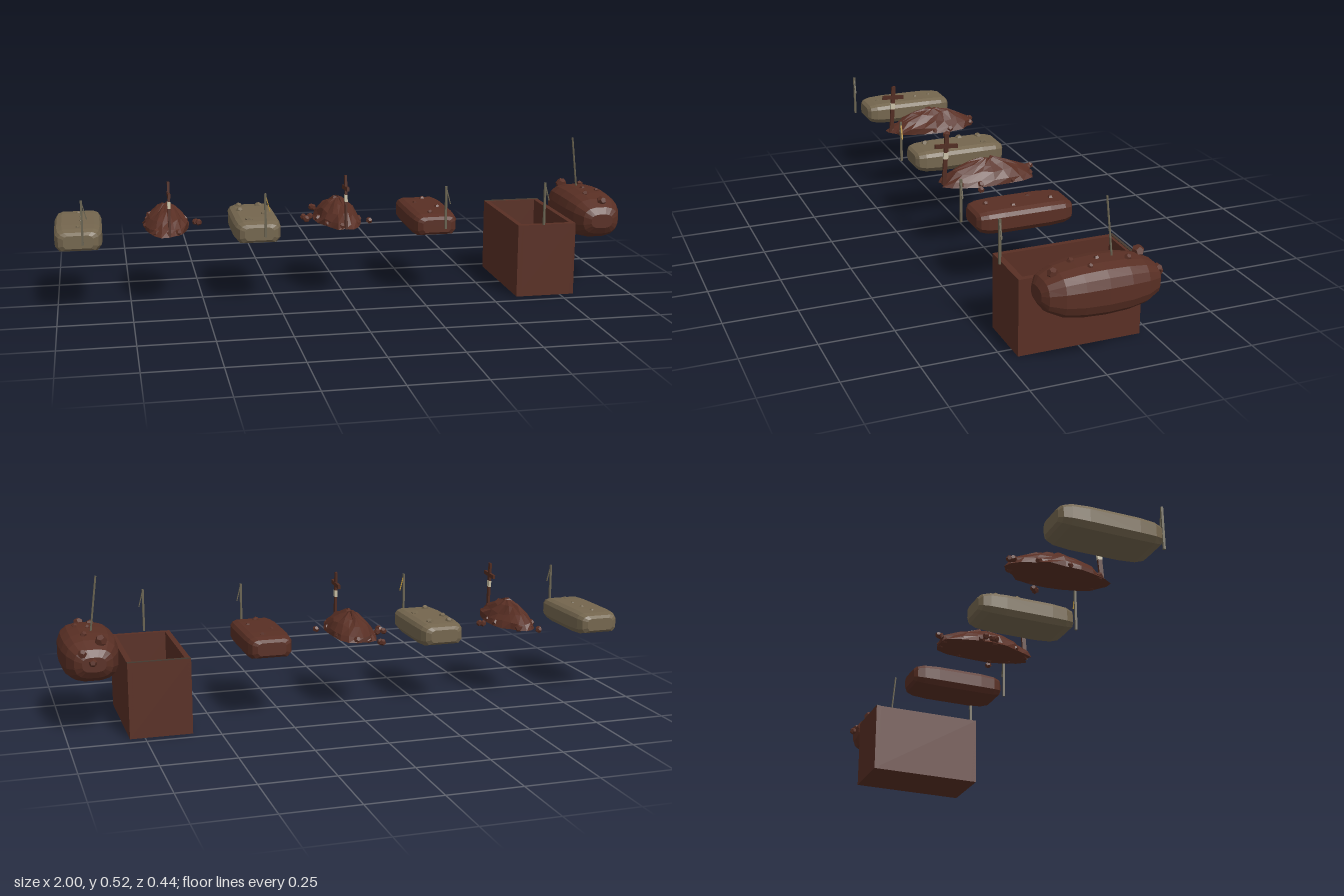
import * as THREE from 'three';

const mat = (name, color, extra = {}) => new THREE.MeshStandardMaterial({ name, color, flatShading: true, ...extra });

export function createModel() {
  const soil = mat('red soil', 0x592f24);
  const sand = mat('dry sand', 0x74664e);
  const wood = mat('dark wood', 0x512c21);
  const stakeWood = mat('grey wood', 0x686250);
  const tape = mat('yellow tape', 0xb8923a);
  const paper = mat('paper', 0xc9c0a6);
  const edge = mat('dark edge', 0x463a30);

  const root = new THREE.Group();
  root.name = 'graveRow';
  let seed = 7;
  const rnd = () => { seed = (seed * 16807) % 2147483647; return seed / 2147483647; };

  const add = (parent, name, geo, material, x = 0, y = 0, z = 0) => {
    const m = new THREE.Mesh(geo, material);
    m.name = name;
    m.position.set(x, y, z);
    parent.add(m);
    return m;
  };
  const box = (w, h, d) => new THREE.BoxGeometry(w, h, d);

  // Skin a stack of equal rings and close both ends
  const loft = (rings) => {
    const pos = [];
    const tri = (...vs) => vs.forEach((v) => pos.push(v.x, v.y, v.z));
    const n = rings[0].length;
    for (let i = 0; i < rings.length - 1; i++) for (let j = 0; j < n; j++) {
      const k = (j + 1) % n, a = rings[i][j], b = rings[i][k], c = rings[i + 1][k], d = rings[i + 1][j];
      tri(a, b, c);
      tri(a, c, d);
    }
    const first = rings[0], last = rings[rings.length - 1];
    for (let j = 1; j < n - 1; j++) {
      tri(first[0], first[j + 1], first[j]);
      tri(last[0], last[j], last[j + 1]);
    }
    const g = new THREE.BufferGeometry();
    g.setAttribute('position', new THREE.Float32BufferAttribute(pos, 3));
    g.computeVertexNormals();
    return g;
  };

  // Long body along z: profile is a unit cross-section, stations are [z, width scale, height scale]
  const body = (profile, stations) => loft(stations.map(([z, sx, sy]) =>
    profile.map(([x, y]) => new THREE.Vector3(x * sx, y * sy, z))));

  const clod = (parent, material, x, y, z, r) => {
    const m = add(parent, 'clod', new THREE.DodecahedronGeometry(r, 0), material, x, y, z);
    m.rotation.set(rnd() * 3, rnd() * 3, rnd() * 3);
    return m;
  };

  // Smoothed bevelled-slab graves
  const slabProfile = [[0.08, -0.022], [0.08, 0.02], [0.072, 0.033], [0.055, 0.04], [-0.055, 0.04],
    [-0.072, 0.033], [-0.08, 0.02], [-0.08, -0.022], [-0.066, -0.04], [0.066, -0.04]];
  const slabStations = [[-0.18, 0.62, 0.55], [-0.17, 0.83, 0.78], [-0.145, 0.95, 0.93], [-0.09, 1, 1],
    [0.075, 1, 1], [0.13, 0.95, 0.93], [0.155, 0.83, 0.78], [0.165, 0.62, 0.55]];
  const slabs = [
    [-0.92, sand, 0.008, [[0, -0.11], [0.01, -0.05], [0.01, 0.02], [0, 0.11]]],
    [-0.315, sand, 0.014, [[-0.04, -0.115], [0.03, -0.11], [-0.045, -0.04], [0.035, 0.03], [-0.03, 0.1]]],
    [0.307, soil, 0.011, [[0.015, -0.115], [-0.027, -0.05], [0.033, 0.03], [-0.012, 0.11]]],
  ];
  for (const [x, material, r, spots] of slabs) {
    const g = new THREE.Group();
    g.name = 'slabGrave';
    g.position.set(x, 0.26, 0);
    root.add(g);
    add(g, 'slabMound', body(slabProfile, slabStations), material);
    spots.forEach(([cx, cz]) => clod(g, material, cx, 0.037, cz, r));
  }

  // Ragged mounds with scattered clods
  const raggedMound = (x, clods) => {
    const g = new THREE.Group();
    g.name = 'raggedGrave';
    g.position.x = x;
    root.add(g);
    const n = 20;
    const rings = [[0.26, 1], [0.279, 0.91], [0.303, 0.7], [0.323, 0.42], [0.338, 0.14]].map(([y, s], i) =>
      Array.from({ length: n }, (_, j) => {
        const a = (j / n) * Math.PI * 2;
        const k = s * (0.91 + rnd() * 0.17);
        return new THREE.Vector3(Math.cos(a) * 0.079 * k, y + (i ? (rnd() - 0.5) * 0.012 : 0), -0.02 - Math.sin(a) * 0.178 * k);
      }));
    add(g, 'raggedMound', loft(rings), soil);
    // Clods along the rim
    for (let i = 0; i < 9; i++) {
      const a = i * 0.7 + rnd() * 0.4;
      clod(g, soil, Math.cos(a) * 0.07, 0.268, -0.02 + Math.sin(a) * 0.16, 0.01 + rnd() * 0.005);
    }
    clods.forEach(([cx, cz]) => clod(g, soil, cx, 0.263, cz, 0.012));

    // Leaning cross
    const cross = new THREE.Group();
    cross.name = 'cross';
    cross.position.set(0.003, 0.26, 0.146);
    cross.rotation.x = -0.07;
    g.add(cross);
    add(cross, 'crossPost', box(0.008, 0.187, 0.015), wood, 0, 0.0935, 0);
    add(cross, 'crossArm', box(0.009, 0.014, 0.084), wood, 0, 0.143, 0);
    add(cross, 'paperNote', box(0.0095, 0.024, 0.017), paper, 0, 0.108, 0);
  };
  raggedMound(-0.62, [[0.115, -0.04], [0.105, -0.05], [-0.05, -0.19], [-0.045, -0.2]]);
  raggedMound(-0.015, [[-0.09, -0.06], [-0.115, -0.055], [-0.11, -0.03], [-0.11, -0.015], [-0.055, -0.2], [-0.06, -0.21], [0.105, 0.045]]);

  // Open pit: four walls and a floor
  const pit = new THREE.Group();
  pit.name = 'openPit';
  pit.position.set(0.695, 0, -0.005);
  root.add(pit);
  add(pit, 'pitFloor', box(0.2, 0.012, 0.41), soil, 0, 0.006, 0);
  for (const s of [-1, 1]) {
    add(pit, 'pitSideWall', box(0.018, 0.258, 0.416), soil, s * 0.096, 0.129, 0);
    add(pit, 'pitEndWall', box(0.21, 0.258, 0.02), soil, 0, 0.129, s * 0.198);
  }
  add(pit, 'pitBackEdge', box(0.21, 0.002, 0.01), edge, 0, 0.259, -0.203);

  // Big spoil heap beside the pit
  const heap = new THREE.Group();
  heap.name = 'spoilHeap';
  heap.position.set(0.903, 0.257, -0.004);
  root.add(heap);
  const pw = (v, e) => Math.sign(v) * Math.abs(v) ** e;
  const heapProfile = Array.from({ length: 16 }, (_, j) => {
    const a = ((j + 0.5) / 16) * Math.PI * 2;
    return [pw(Math.cos(a), 0.72) * 0.098, pw(Math.sin(a), 0.72) * 0.083];
  });
  add(heap, 'heapBody', body(heapProfile, [[-0.195, 0.4, 0.3], [-0.18, 0.65, 0.58], [-0.135, 0.87, 0.84],
    [-0.075, 0.97, 0.96], [0, 1, 1], [0.075, 0.97, 0.96], [0.135, 0.87, 0.84], [0.18, 0.65, 0.58], [0.195, 0.4, 0.3]]), soil);
  [[-0.03, 0.068, -0.15, 0.021], [0.035, 0.035, -0.182, 0.016], [0.02, 0.078, -0.09, 0.012], [-0.005, 0.081, 0, 0.01],
    [0.035, 0.078, 0.04, 0.01], [-0.02, 0.076, 0.078, 0.013], [0.012, 0.064, 0.15, 0.018], [0.005, 0.01, -0.205, 0.014]]
    .forEach(([x, y, z, r]) => clod(heap, soil, x, y, z, r));
  // Leaning handle stuck in the heap
  const from = new THREE.Vector3(-0.006, 0.06, -0.052), to = new THREE.Vector3(-0.033, 0.262, -0.042);
  const dir = to.clone().sub(from);
  const mid = from.clone().add(to).multiplyScalar(0.5);
  const handle = add(heap, 'toolHandle', new THREE.CylinderGeometry(0.0035, 0.0035, dir.length(), 6), stakeWood, mid.x, mid.y, mid.z);
  handle.quaternion.setFromUnitVectors(new THREE.Vector3(0, 1, 0), dir.normalize());

  // Marker stakes with a hanging strip
  for (const [x, z, strip] of [[-0.905, 0.208, stakeWood], [-0.3, 0.208, tape], [0.325, 0.208, stakeWood], [0.678, 0.215, stakeWood]]) {
    const g = new THREE.Group();
    g.name = 'markerStake';
    g.position.set(x, 0.26, z);
    root.add(g);
    add(g, 'stake', box(0.007, 0.15, 0.008), stakeWood, 0, 0.075, 0);
    add(g, 'strip', box(0.003, 0.052, 0.005), strip, 0.009, 0.113, 0).rotation.z = 0.25;
  }
  return root;
}
